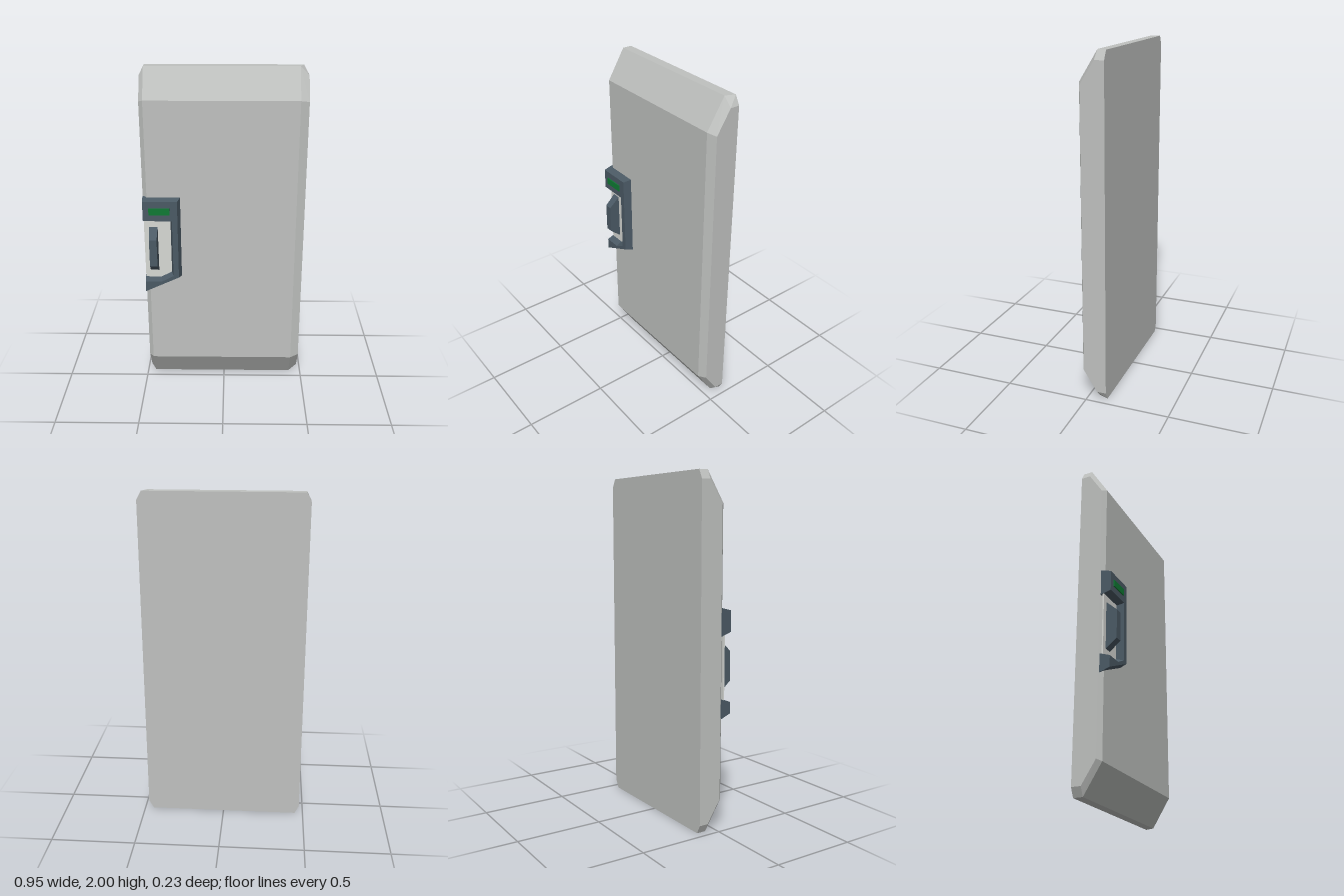
import * as THREE from 'three';
import { ConvexGeometry } from 'three/addons/geometries/ConvexGeometry.js';

const paint = (name, color) => {
  const m = new THREE.MeshStandardMaterial({ color });
  m.name = name;
  return m;
};

// Faceted solid around a set of corner points
const hull = (points) => new ConvexGeometry(points.map((p) => new THREE.Vector3(...p)));

// Flat-faced sweep through four-point sections, capped at both ends
function loft(sections) {
  const pos = [];
  const quad = (a, b, c, d) => pos.push(...a, ...b, ...c, ...a, ...c, ...d);
  for (let i = 0; i < sections.length - 1; i++) {
    const s = sections[i], t = sections[i + 1];
    for (let j = 0; j < 4; j++) {
      const k = (j + 1) % 4;
      quad(s[j], s[k], t[k], t[j]);
    }
  }
  quad(...[...sections[0]].reverse());
  quad(...sections[sections.length - 1]);
  const g = new THREE.BufferGeometry();
  g.setAttribute('position', new THREE.Float32BufferAttribute(pos, 3));
  g.computeVertexNormals();
  return g;
}

export function createModel() {
  const doorGrey = paint('door grey', 0xbfc1bf);
  const plateGrey = paint('pale plate grey', 0xd6d8d4);
  const slate = paint('dark slate', 0x4b5a65);
  const green = paint('indicator green', 0x0f7a34);

  const model = new THREE.Group();
  model.name = 'door';
  const add = (name, geometry, material) => {
    const mesh = new THREE.Mesh(geometry, material);
    mesh.name = name;
    model.add(mesh);
    return mesh;
  };

  // Door slab: bevelled front, clipped corners, mirrored top to bottom
  const corners = [];
  for (const s of [-1, 1]) {
    const y = (h) => 1 + s * h;
    corners.push(
      [-0.475, y(0.95), -0.115], [-0.45, y(1), -0.115], [0.447, y(1), -0.115], [0.475, y(0.95), -0.115],
      [-0.475, y(0.95), -0.06], [-0.45, y(1), -0.06], [0.425, y(1), -0.06], [0.475, y(0.95), -0.06],
      [-0.475, y(0.82), 0.022], [-0.45, y(0.83), 0.045], [0.425, y(0.83), 0.045], [0.475, y(0.82), 0.022],
    );
  }
  add('doorPanel', hull(corners), doorGrey);

  // Lock frame, open toward the door edge:
  // outer foot, outer rim, inner rim, inner foot (x, y each)
  const path = [
    [-0.475, 1.265, -0.472, 1.25, -0.472, 1.13, -0.475, 1.11],
    [-0.25, 1.265, -0.27, 1.25, -0.302, 1.13, -0.32, 1.11],
    [-0.25, 0.75, -0.27, 0.762, -0.302, 0.772, -0.32, 0.787],
    [-0.36, 0.699, -0.365, 0.718, -0.372, 0.735, -0.38, 0.755],
    [-0.475, 0.645, -0.472, 0.668, -0.472, 0.735, -0.475, 0.755],
  ];
  const depth = [0.03, 0.09, 0.09, 0.03];
  const sections = path.map((p) => depth.map((z, j) => [p[2 * j], p[2 * j + 1], z]));
  add('lockFrame', loft(sections), slate);

  // Pale backing plate inside the frame
  const plate = new THREE.Shape([
    [-0.472, 1.12], [-0.31, 1.12], [-0.31, 0.78], [-0.376, 0.745], [-0.472, 0.745],
  ].map((p) => new THREE.Vector2(...p)));
  add('lockPlate', new THREE.ExtrudeGeometry(plate, { depth: 0.008, bevelEnabled: false }), plateGrey)
    .position.z = 0.041;

  // Handle with sloped ends
  const grip = [];
  for (const x of [-0.442, -0.391]) {
    const inset = x < -0.42 ? 0.003 : -0.003;
    grip.push([x, 0.79, 0.045], [x, 1.08, 0.045], [x + inset, 0.847, 0.113], [x + inset, 1.018, 0.113]);
  }
  add('handle', hull(grip), slate);

  // Indicator light
  add('indicatorLight', new THREE.BoxGeometry(0.122, 0.04, 0.009), green).position.set(-0.376, 1.19, 0.0915);

  return model;
}
